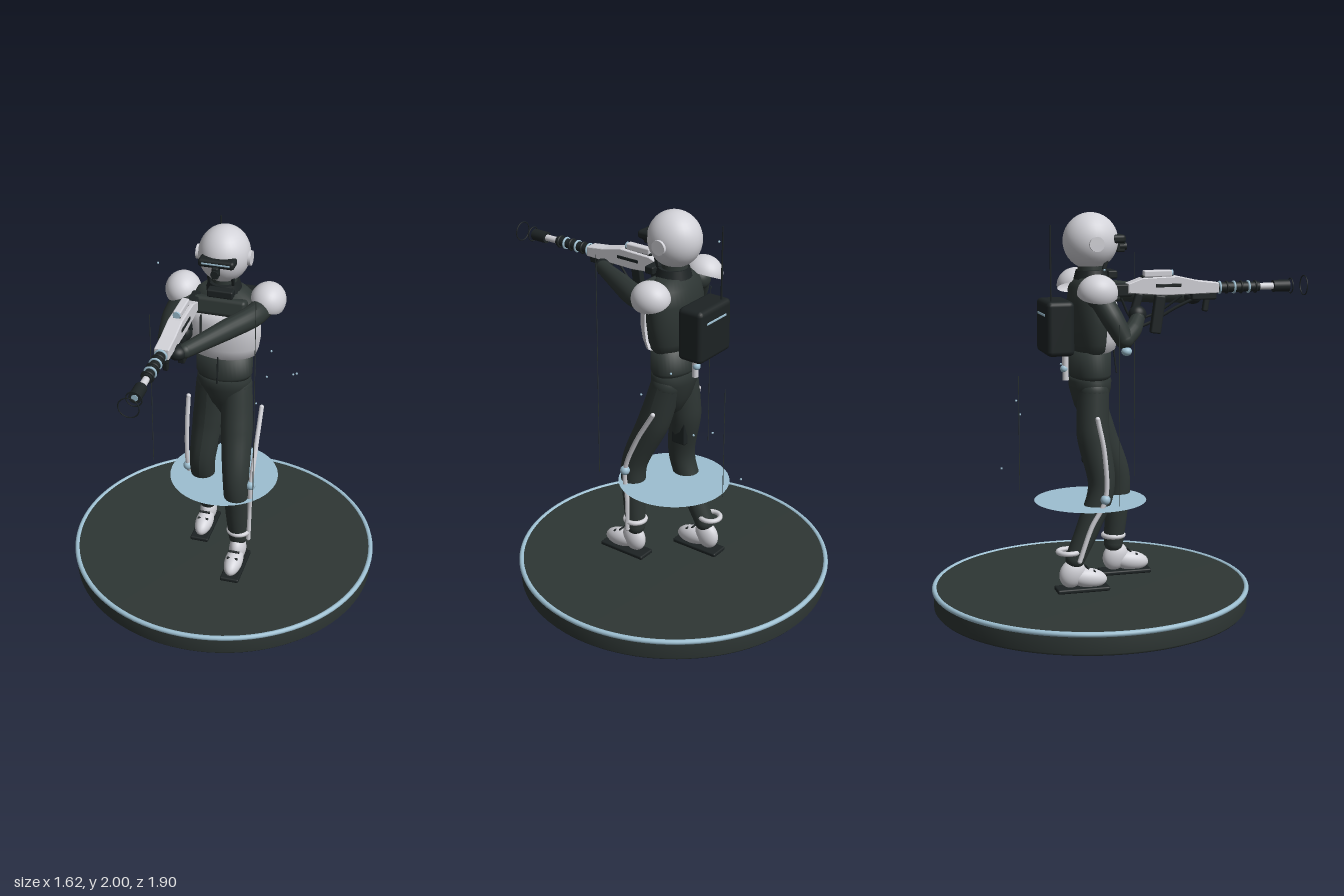
import * as THREE from 'three';
import { RoundedBoxGeometry } from 'three/addons/geometries/RoundedBoxGeometry.js';

const mat = (name, color, side = THREE.FrontSide) => {
  const m = new THREE.MeshStandardMaterial({ color, side });
  m.name = name;
  return m;
};

export function createModel() {
  const root = new THREE.Group();
  root.name = 'sentryFigure';
  const dark = mat('charcoal suit', 0x2e3634, THREE.DoubleSide);
  const black = mat('black gear', 0x1d2324);
  const white = mat('pale armour', 0xd2d2d8, THREE.DoubleSide);
  const blue = mat('ice blue', 0x9dbfd1, THREE.DoubleSide);

  const add = (name, geo, m, p = [0, 0, 0], r = [0, 0, 0], s = [1, 1, 1]) => {
    const mesh = new THREE.Mesh(geo, m);
    mesh.name = name;
    mesh.position.set(...p);
    mesh.rotation.set(...r);
    mesh.scale.set(...s);
    root.add(mesh);
    return mesh;
  };
  const V = (a) => new THREE.Vector3(a[0], a[1], a[2]);
  const box = (name, w, h, d, m, p, r, bevel = 0.008) =>
    add(name, new RoundedBoxGeometry(w, h, d, 2, bevel), m, p, r);
  const ball = (name, m, p, s, r) => add(name, new THREE.SphereGeometry(1, 32, 20), m, p, r, s);
  const cyl = (name, r0, r1, h, m, p, r, n = 24) => add(name, new THREE.CylinderGeometry(r0, r1, h, n), m, p, r);
  const alongZ = [Math.PI / 2, 0, 0];

  // Tapered tube through [x, y, z, radius] points, with rounded ends
  const limb = (name, pts, m, sides = 20) => {
    const curve = new THREE.CatmullRomCurve3(pts.map(V));
    const n = 28;
    const geo = new THREE.TubeGeometry(curve, n, 1, sides);
    const pos = geo.attributes.position;
    const v = new THREE.Vector3();
    for (let i = 0; i <= n; i++) {
      const c = curve.getPointAt(i / n);
      const t = curve.getUtoTmapping(i / n) * (pts.length - 1);
      const k = Math.min(Math.floor(t), pts.length - 2);
      const rad = THREE.MathUtils.lerp(pts[k][3], pts[k + 1][3], t - k);
      for (let j = 0; j <= sides; j++) {
        const q = i * (sides + 1) + j;
        v.fromBufferAttribute(pos, q).sub(c).multiplyScalar(rad).add(c);
        pos.setXYZ(q, v.x, v.y, v.z);
      }
    }
    geo.computeVertexNormals();
    add(name, geo, m);
    for (const e of [pts[0], pts[pts.length - 1]]) ball(name + 'End', m, e.slice(0, 3), [e[3], e[3], e[3]]);
  };
  const lathe = (name, prof, m, z, depth, phi = Math.PI * 2) =>
    add(name, new THREE.LatheGeometry(prof.map((a) => new THREE.Vector2(...a)), 40, -phi / 2, phi), m,
      [0, 0, z], [0, 0, 0], [1, 1, depth]);

  // Round stand, rim and hovering disc
  const Z = -0.14;
  add('standBase', new THREE.LatheGeometry([[0, 0], [0.79, 0], [0.8, 0.012], [0.8, 0.1], [0.79, 0.112], [0, 0.112]]
    .map((a) => new THREE.Vector2(...a)), 96), dark, [0, 0, Z]);
  add('standRim', new THREE.TorusGeometry(0.797, 0.013, 12, 96), blue, [0, 0.105, Z], alongZ);
  add('hoverDisc', new THREE.CircleGeometry(0.285, 64), blue, [0, 0.55, Z], [-Math.PI / 2, 0, 0]);

  // Legs: left leg forward, right leg back
  const legs = [
    { n: 'left', s: 1, kneeY: 0.63, kz: 0.03, az: 0.015, boot: 0.08 },
    { n: 'right', s: -1, kneeY: 0.59, kz: -0.11, az: -0.25, boot: -0.21 },
  ];
  for (const { n, s, kneeY, kz, az, boot } of legs) {
    limb(n + 'Leg', [[s * 0.068, 1.12, -0.14, 0.078], [s * 0.085, 0.9, (kz - 0.18) / 2, 0.083],
      [s * 0.11, 0.64, kz, 0.067], [s * 0.117, 0.45, (kz + az) / 2 + 0.005, 0.06], [s * 0.122, 0.28, az, 0.05]], dark);
    limb(n + 'LegRail', [[s * 0.195, 1.0, -0.15, 0.012], [s * 0.195, 0.82, (kz - 0.12) / 2, 0.012],
      [s * 0.19, kneeY, kz, 0.012], [s * 0.183, 0.45, (kz + az) / 2, 0.012], [s * 0.18, 0.28, az + 0.01, 0.012]], white, 10);
    ball(n + 'KneeJoint', blue, [s * 0.19, kneeY, kz], [0.025, 0.025, 0.025]);
    add(n + 'AnkleRing', new THREE.TorusGeometry(0.052, 0.013, 10, 32), white, [s * 0.125, 0.32, az - (s < 0 ? 0.035 : 0)],
      alongZ, [1, 1, 1]);
    ball(n + 'BootToe', white, [s * 0.123, 0.176, boot + 0.025], [0.047, 0.05, 0.1], [0.15, 0, 0]);
    ball(n + 'BootHeel', white, [s * 0.123, 0.205, boot - 0.055], [0.044, 0.075, 0.065], [0.45, 0, 0]);
    for (const k of [0, 1])
      box(n + 'BootLace', 0.06, 0.008, 0.012, black, [s * 0.123, 0.232 - k * 0.018, boot + 0.02 + k * 0.035], [0.5, 0, 0], 0.003);
    box(n + 'Sole', 0.1, 0.022, 0.27, black, [s * 0.125, 0.124, boot - 0.005]);
  }
  box('thighHolster', 0.035, 0.2, 0.08, black, [-0.035, 0.85, -0.15]);

  // Hips, waist and torso
  lathe('hips', [[0, 0.93], [0.05, 0.96], [0.105, 1.04], [0.138, 1.13], [0.14, 1.17], [0.125, 1.195], [0, 1.195]], dark, Z, 0.75);
  lathe('waist', [[0, 1.18], [0.135, 1.18], [0.145, 1.2], [0.145, 1.32], [0, 1.33]], dark, Z, 0.71);
  lathe('torso', [[0, 1.29], [0.14, 1.3], [0.168, 1.36], [0.182, 1.46], [0.182, 1.56], [0.16, 1.635], [0.11, 1.68], [0, 1.69]],
    dark, Z, 0.61);
  lathe('chestPlate', [[0.14, 1.315], [0.172, 1.33], [0.19, 1.38], [0.202, 1.45], [0.2, 1.52], [0.185, 1.56], [0.15, 1.575]],
    white, Z + 0.01, 0.65, Math.PI * 0.86);
  box('chestSeam', 0.008, 0.19, 0.008, black, [0, 1.29, -0.013], [-0.12, 0, 0], 0.002);
  box('upperVest', 0.27, 0.09, 0.07, dark, [0, 1.61, -0.055], [-0.25, 0, 0], 0.02);
  cyl('neck', 0.06, 0.07, 0.13, dark, [0, 1.71, -0.135]);
  cyl('collar', 0.078, 0.09, 0.045, black, [0, 1.695, -0.13]);
  box('collarRadio', 0.13, 0.04, 0.05, black, [0.01, 1.695, -0.035]);

  // Helmet
  ball('helmet', white, [0, 1.86, -0.135], [0.127, 0.14, 0.138]);
  for (const s of [-1, 1]) {
    cyl('earCap', 0.037, 0.037, 0.024, white, [s * 0.125, 1.85, -0.135], [0, 0, Math.PI / 2]);
    box('chinStrap', 0.015, 0.05, 0.02, black, [s * 0.06, 1.745, -0.075], [0.3, 0, 0], 0.004);
  }
  box('visor', 0.18, 0.042, 0.075, black, [0, 1.871, -0.012], [0, 0, 0], 0.016);
  box('visorGlow', 0.14, 0.008, 0.006, blue, [0, 1.873, 0.026], [0, 0, 0], 0.002);
  box('breatherBridge', 0.032, 0.06, 0.045, black, [0, 1.832, 0.018]);
  cyl('breatherTip', 0.019, 0.019, 0.035, black, [0, 1.83, 0.03], alongZ);

  // Shoulder pads
  for (const s of [-1, 1]) {
    add('shoulderPad', new THREE.SphereGeometry(1, 32, 12, 0, Math.PI * 2, 0, Math.PI * 0.54), white,
      [s * 0.216, 1.623, -0.155], [0, 0, -s * 0.42], [0.088, 0.09, 0.1]);
    ball('shoulderJoint', dark, [s * 0.19, 1.6, -0.14], [0.06, 0.06, 0.065]);
  }

  // Arms and gloves
  limb('leftArm', [[0.2, 1.6, -0.13, 0.056], [0.175, 1.597, -0.03, 0.056], [0.08, 1.59, 0.13, 0.05],
    [-0.055, 1.58, 0.35, 0.036]], dark);
  ball('leftGlove', black, [-0.085, 1.578, 0.37], [0.045, 0.036, 0.045]);
  limb('rightUpperArm', [[-0.2, 1.6, -0.14, 0.056], [-0.25, 1.5, -0.09, 0.054], [-0.268, 1.4, -0.035, 0.046]], dark);
  limb('rightForearm', [[-0.268, 1.4, -0.035, 0.046], [-0.22, 1.44, 0.02, 0.044], [-0.165, 1.485, 0.06, 0.036]], dark);
  ball('rightGlove', black, [-0.145, 1.505, 0.065], [0.04, 0.045, 0.045]);
  ball('rightElbowJoint', blue, [-0.288, 1.345, -0.03], [0.026, 0.022, 0.026]);

  // Rifle, pointing forward
  const gx = -0.125, gy = 1.625;
  const body = new THREE.Shape([[0.48, 1.605], [0.48, 1.648], [0.38, 1.66], [0.27, 1.685], [0.09, 1.68],
    [0.02, 1.655], [0.02, 1.615], [0.2, 1.6]].map((a) => new THREE.Vector2(...a)));
  add('rifleBody', new THREE.ExtrudeGeometry(body, { depth: 0.06, bevelThickness: 0.006, bevelSize: 0.004, bevelSegments: 2 }),
    white, [gx + 0.03, 0, 0], [0, -Math.PI / 2, 0]);
  box('rifleStock', 0.05, 0.06, 0.14, black, [gx, 1.625, -0.03]);
  box('rifleRail', 0.035, 0.014, 0.16, black, [gx, 1.688, 0.17], [0, 0, 0], 0.004);
  box('sightBody', 0.04, 0.035, 0.145, white, [gx, 1.702, 0.172]);
  cyl('sightLens', 0.018, 0.018, 0.008, blue, [gx, 1.702, 0.247], alongZ);
  for (const s of [-1, 1]) box('receiverSlot', 0.006, 0.016, 0.13, black, [gx + s * 0.037, 1.645, 0.22], [0, 0, 0], 0.002);
  cyl('shroud', 0.024, 0.026, 0.23, black, [gx, gy, 0.59], alongZ);
  for (let i = 0; i < 6; i++) {
    add('shroudRing', new THREE.TorusGeometry(0.027, 0.006, 8, 28), i % 2 ? black : blue, [gx, gy, 0.495 + i * 0.038]);
  }
  cyl('barrel', 0.017, 0.017, 0.12, white, [gx, gy, 0.74], alongZ);
  cyl('muzzle', 0.03, 0.03, 0.085, black, [gx, gy, 0.822], alongZ);
  cyl('muzzleBore', 0.016, 0.016, 0.004, blue, [gx, gy, 0.865], alongZ);
  add('smallPulseRing', new THREE.TorusGeometry(0.037, 0.003, 6, 40), black, [gx, gy, 0.875]);
  add('largePulseRing', new THREE.TorusGeometry(0.049, 0.003, 6, 40), black, [gx, gy, 0.948]);
  box('foreBlock', 0.05, 0.04, 0.13, black, [gx, 1.588, 0.41]);
  box('foreGrip', 0.026, 0.075, 0.03, black, [gx, 1.545, 0.425], [0.15, 0, 0]);
  box('magazine', 0.036, 0.19, 0.055, black, [gx, 1.5, 0.175], [0.14, 0, 0]);
  box('pistolGrip', 0.03, 0.11, 0.04, black, [gx, 1.555, 0.065], [0.3, 0, 0]);
  const cord = (name, pts, r) =>
    add(name, new THREE.TubeGeometry(new THREE.CatmullRomCurve3(pts.map(V)), 30, r, 8), black);
  cord('sling', [[gx, 1.58, 0.38], [-0.1, 1.53, 0.28], [-0.075, 1.45, 0.14], [-0.06, 1.42, 0.03], [-0.05, 1.47, -0.01]], 0.008);
  cord('slingCable', [[gx, 1.59, 0.3], [-0.09, 1.5, 0.17], [-0.07, 1.48, 0.06], [-0.08, 1.58, 0]], 0.006);

  // Backpack, antenna and rear canister
  box('backpack', 0.26, 0.27, 0.14, black, [0, 1.44, -0.315], [0, 0, 0], 0.025);
  box('backpackStrip', 0.16, 0.012, 0.008, blue, [0, 1.505, -0.384], [0, 0, 0], 0.003);
  cyl('antenna', 0.003, 0.005, 0.38, black, [-0.08, 1.755, -0.355], [0, 0, 0], 8);
  cyl('rearCanister', 0.016, 0.016, 0.14, white, [0, 1.24, -0.265]);
  ball('canisterCap', blue, [0, 1.228, -0.272], [0.02, 0.02, 0.02]);

  // Floating threads and motes
  for (const [x, z, y0, y1] of [[0.235, 0.16, 0.6, 1.78], [-0.375, -0.09, 0.6, 1.485], [0.07, -0.49, 0.6, 1.19]])
    cyl('thread', 0.002, 0.002, y1 - y0, dark, [x, (y0 + y1) / 2, z], [0, 0, 0], 6);
  for (const p of [[0.285, 1.025, -0.46], [0.055, 0.725, -0.585], [0.36, 1.195, -0.205], [0.21, 1.265, -0.27],
    [-0.345, 1.745, -0.155], [0.14, 0.98, -0.47]])
    add('mote', new THREE.SphereGeometry(0.006, 8, 6), blue, p);

  return root;
}
